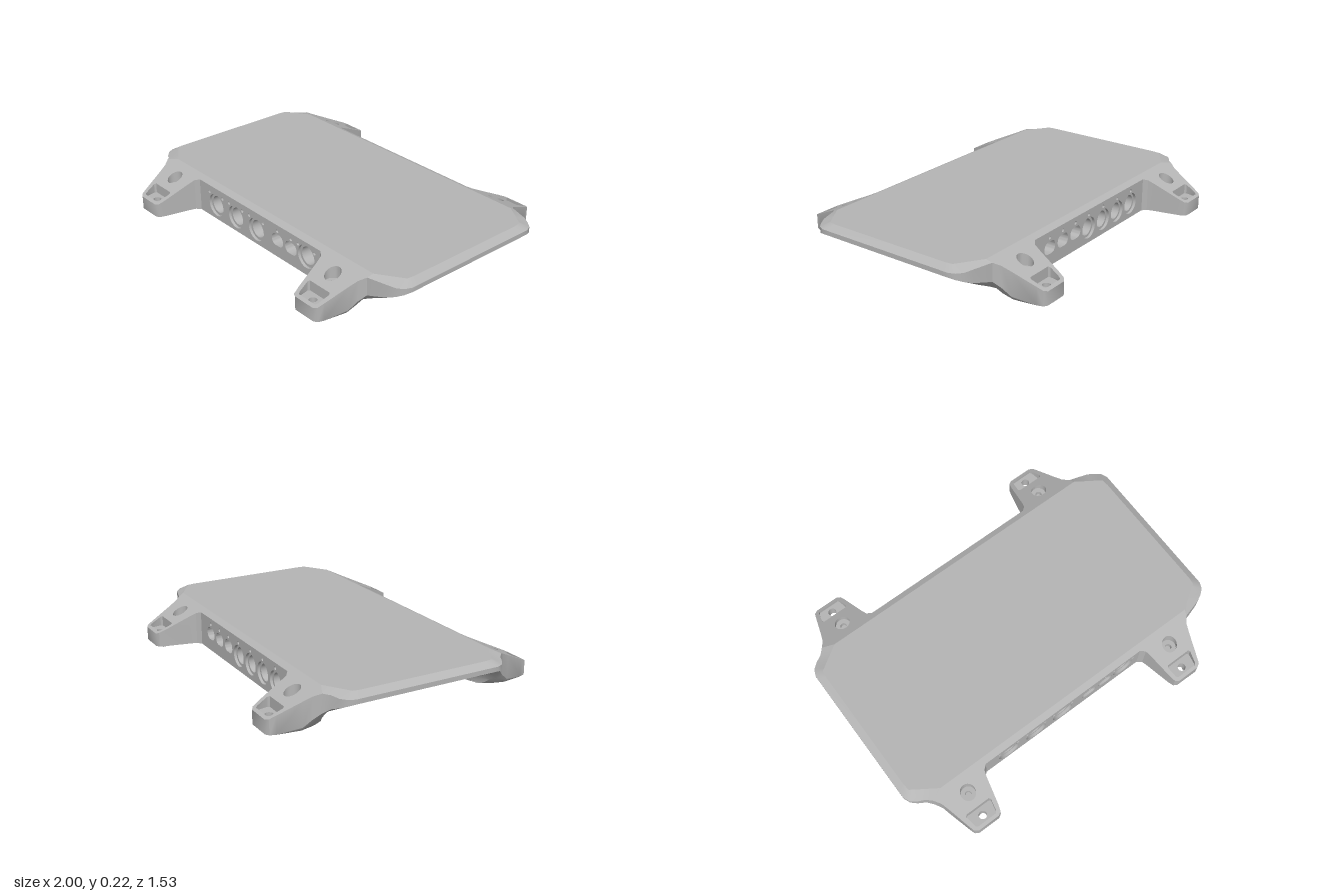
import * as THREE from 'three';
import { mergeGeometries, toCreasedNormals } from 'three/addons/utils/BufferGeometryUtils.js';

const V = (x, y, z) => new THREE.Vector3(x, y, z);
const TOP = 0.225, BASE = 0.02, RIM = 0.175, WALL_Z = 0.525;
const ARM_X = { 1: 0.64, '-1': 0.715 }; // distance of the arms from the centre, per side

// Plan of one quarter: rounded end corner, then the arm relative to its centre
const END = [[1, 0.36], [1, 0.41], [0.985, 0.445], [0.955, 0.47], [0.915, 0.49]];
const ARM = [[0.17, 0.52], [0.145, 0.555], [0.13, 0.6], [0.095, 0.72], [0.085, 0.752], [0.065, 0.765],
  [-0.065, 0.765], [-0.085, 0.752], [-0.095, 0.72], [-0.125, 0.58], [-0.135, 0.545], [-0.16, WALL_Z]];
// Where the underside meets the flat base
const END_BASE = [[0.6, 0.34], [0.6, 0.36], [0.61, 0.38], [0.63, 0.41], [0.65, 0.43]];
const ARM_BASE = [[0.06, 0.47], [0.09, 0.52], [0.112, 0.6], ...ARM.slice(3)];
// Edge of the flat top
const TOP_EDGE = [[0.96, 0], [0.96, 0.36], [0.955, 0.4], [0.94, 0.41], [0.9, 0.437], [0.86, 0.463], [0.82, 0.49]];

const slope = z => TOP - 0.473 * (z - 0.49);
const shift = (pts, c) => pts.map(([x, z]) => [x + c, z]);

function soup(points) {
  const g = new THREE.BufferGeometry().setFromPoints(points);
  return g;
}

// Quads between rows of points
function strip(rows, flip) {
  const out = [];
  for (let i = 0; i < rows.length - 1; i++) {
    for (let j = 0; j < rows[i].length - 1; j++) {
      const a = rows[i][j], b = rows[i][j + 1], c = rows[i + 1][j + 1], d = rows[i + 1][j];
      out.push(...(flip ? [a, c, b, a, d, c] : [a, b, c, a, c, d]));
    }
  }
  return soup(out);
}

// Face from a 2D outline, with recesses { pts, depth, open, holes } sunk into it
function panel(pts, holes, map, flip, depth) {
  const toV2 = list => list.map(([u, v]) => new THREE.Vector2(u, v));
  const shape = new THREE.Shape(toV2(pts));
  holes.forEach(h => shape.holes.push(new THREE.Path(toV2(h.pts))));
  const p = new THREE.ShapeGeometry(shape).toNonIndexed().attributes.position;
  const face = [];
  for (let i = 0; i < p.count; i += 3) {
    for (const k of flip ? [0, 2, 1] : [0, 1, 2]) face.push(map(p.getX(i + k), p.getY(i + k), depth));
  }
  const parts = [soup(face)];
  for (const h of holes) {
    const loop = [...h.pts, h.pts[0]];
    parts.push(strip([loop.map(q => map(q[0], q[1], depth)), loop.map(q => map(q[0], q[1], h.depth))], flip));
    if (!h.open) parts.push(...panel(h.pts, h.holes || [], map, flip, h.depth));
  }
  return parts;
}

const circle = (x, y, r, n = 32) => Array.from({ length: n }, (_, i) =>
  [x + r * Math.cos(i / n * 2 * Math.PI), y + r * Math.sin(i / n * 2 * Math.PI)]);

function roundRect(x, y, hw, hh, r) {
  const pts = [];
  [[1, 1], [-1, 1], [-1, -1], [1, -1]].forEach(([sx, sy], q) => {
    for (let i = 0; i <= 6; i++) {
      const a = (q + i / 6) * Math.PI / 2;
      pts.push([x + sx * (hw - r) + r * Math.cos(a), y + sy * (hh - r) + r * Math.sin(a)]);
    }
  });
  return pts;
}

// Connector openings
const bigPort = (x, y, r) => ({
  pts: circle(x, y, r), depth: 0.51,
  holes: [{ pts: circle(x, y, r * 0.77), depth: 0.43 }]
});
const smallPort = (x, y) => ({ pts: roundRect(x, y, 0.046, 0.034, 0.03), depth: 0.45 });
const light = (x, y) => ({ pts: circle(x, y, 0.01, 12), depth: 0.515 });

export function createModel() {
  const group = new THREE.Group();
  const grey = new THREE.MeshStandardMaterial({ color: 0xb5b5b5, side: THREE.DoubleSide });
  grey.name = 'grey';
  const add = (name, parts) => {
    const mesh = new THREE.Mesh(toCreasedNormals(mergeGeometries(parts), 0.6), grey);
    mesh.name = name;
    group.add(mesh);
  };

  // Rim, outer walls and flared underside, quarter by quarter
  const sides = [];
  for (const sx of [1, -1]) {
    for (const sz of [1, -1]) {
      const c = ARM_X[sx], flip = sx * sz < 0;
      const at = (x, y, z) => V(sx * x, y, sz * z);
      const outer = [[1, 0], ...END, ...shift(ARM, c)];
      const base = [...END_BASE, ...shift(ARM_BASE, c)];
      const wallTop = outer.map(([x, z], i) => at(x, i > 5 ? slope(z) : i === 5 ? 0.207 : 0.2, z));
      const edgeY = outer.map(([, z], i) => i > 8 ? BASE
        : RIM - (RIM - BASE) * THREE.MathUtils.smoothstep(z, 0.41, 0.66));
      const wallBottom = outer.map(([x, z], i) => at(x, edgeY[i], z));
      sides.push(strip([TOP_EDGE.map(([x, z]) => at(x, TOP, z)), wallTop.slice(0, 7)], flip));
      sides.push(strip([wallTop, wallBottom], flip));
      const rows = [];
      for (let k = 0; k <= 8; k++) {
        const t = k / 8;
        rows.push(base.slice(0, 9).map(([bx, bz], i) => {
          const [x, z] = outer[i + 1];
          const fall = Math.pow(1 - t, 1 + 0.12 * Math.min(i, 4));
          return at(x + (bx - x) * t, BASE + (edgeY[i + 1] - BASE) * fall, z + (bz - z) * t);
        }));
      }
      sides.push(strip(rows, flip));
    }
  }
  add('outerShell', sides);

  // Joins a quarter outline into a full loop
  const around = quarter => [[1, 1], [-1, 1], [-1, -1], [1, -1]].flatMap(([sx, sz]) => {
    const q = quarter(sx).map(([x, z]) => [sx * x, sz * z]);
    return sx * sz > 0 ? q : q.reverse();
  });

  add('topSurface', panel(around(() => TOP_EDGE.slice(1)), [], (x, z) => V(x, TOP, z), true));

  // Flat base with pad recesses and mounting holes
  const baseHoles = [];
  for (const sx of [1, -1]) {
    for (const sz of [1, -1]) {
      const c = ARM_X[sx];
      baseHoles.push({ pts: roundRect(sx * (c - 0.02), sz * 0.535, 0.055, 0.045, 0.02), depth: 0.05 });
      baseHoles.push({ pts: circle(sx * c, sz * 0.71, 0.022, 20), depth: 0.085, open: true });
    }
  }
  add('base', panel(around(sx => [...END_BASE, ...shift(ARM_BASE, ARM_X[sx])]), baseHoles,
    (x, z, d) => V(x, d ?? BASE, z), false));

  // Sloped arms with screw wells and tip pockets
  const armHoles = [];
  for (const sx of [1, -1]) {
    const x = sx * ARM_X[sx];
    armHoles.push({
      pts: circle(x, 0.585, 0.042), depth: 0.13,
      holes: [{ pts: circle(x, 0.585, 0.018, 16), depth: 0.1 }]
    });
    armHoles.push({
      pts: [[x - 0.072, 0.667], [x + 0.072, 0.667], [x + 0.079, 0.677], [x + 0.067, 0.738],
        [x + 0.058, 0.747], [x - 0.058, 0.747], [x - 0.067, 0.738], [x - 0.079, 0.677]],
      depth: 0.085,
      holes: [{ pts: circle(x, 0.71, 0.022, 20), depth: BASE, open: true }]
    });
  }
  const armOutline = [[-0.82, 0.49], [0.82, 0.49], ...shift(ARM, ARM_X[1]),
    ...shift(ARM, ARM_X[-1]).map(([x, z]) => [-x, z]).reverse()];

  // Connector panels
  const frontPorts = [], backPorts = [];
  for (const x of [-0.405, -0.225, -0.045]) {
    frontPorts.push(bigPort(x, 0.105, 0.065), light(x - 0.06, 0.167), light(x + 0.06, 0.167));
  }
  for (const x of [0.135, 0.245]) frontPorts.push(smallPort(x, 0.12), light(x, 0.172));
  frontPorts.push(bigPort(0.367, 0.125, 0.065), light(0.303, 0.172), light(0.431, 0.172));
  for (const x of [0.35, 0.235, 0.12]) backPorts.push(smallPort(x, 0.12), light(x, 0.175));
  for (const x of [-0.005, -0.145, -0.285, -0.425]) backPorts.push(bigPort(x, 0.105, 0.06), light(x, 0.18));

  const x0 = -ARM_X[-1] + 0.16, x1 = ARM_X[1] - 0.16, y1 = slope(WALL_Z);
  for (const [name, sz, ports] of [['front', 1, frontPorts], ['back', -1, backPorts]]) {
    add(name + 'Arms', panel(armOutline, armHoles, (x, z, d) => V(x, d ?? slope(z), sz * z), sz > 0));
    add(name + 'ConnectorPanel', panel([[x0, BASE], [x1, BASE], [x1, y1], [x0, y1]], ports,
      (x, y, d) => V(x, y, sz * (d ?? WALL_Z)), sz < 0));
  }

  // Ramps under both ends, each with a grip slot
  const rampX = y => 0.6 + 0.4 * (y - BASE) / (RIM - BASE);
  for (const [name, sx] of [['leftRamp', 1], ['rightRamp', -1]]) {
    add(name, panel([[-0.34, BASE], [0.34, BASE], [0.36, RIM], [-0.36, RIM]],
      [{ pts: roundRect(0, 0.155, 0.315, 0.016, 0.0155), depth: 0.89 }],
      (z, y, d) => V(sx * (d ?? rampX(y)), y, z), sx > 0));
  }

  // Locating pins beside each mounting hole
  for (const sx of [1, -1]) {
    for (const sz of [1, -1]) {
      for (const dx of [-0.036, 0.036]) {
        const pin = new THREE.Mesh(new THREE.CylinderGeometry(0.013, 0.013, BASE, 16), grey);
        pin.position.set(sx * ARM_X[sx] + dx, BASE / 2, sz * 0.71);
        pin.name = 'locatingPin';
        group.add(pin);
      }
    }
  }
  return group;
}
